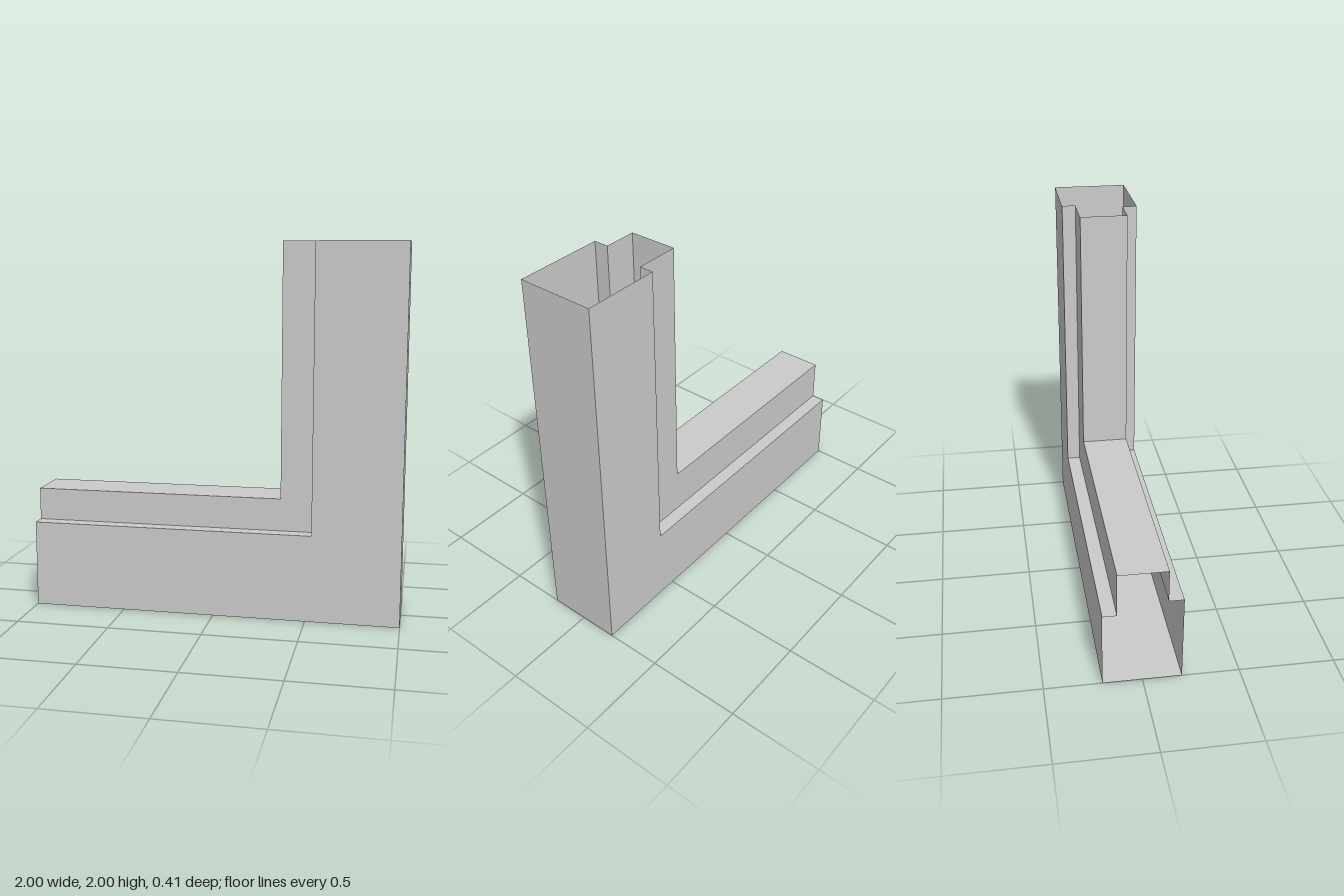
import * as THREE from 'three';

// Frame profile: [distance in from the outer edge, z]
const PROFILE = [
  [0, -0.203], [0, 0.203], [0.47, 0.203], [0.47, 0.125],
  [0.645, 0.125], [0.645, -0.13], [0.41, -0.13], [0.41, -0.203],
];

// Open hollow bar: each profile edge is swept from one station to the next
function sweepBar(name, start, end, material) {
  const positions = [];
  PROFILE.forEach((p, i) => {
    const q = PROFILE[(i + 1) % PROFILE.length];
    const a0 = start(...p), a1 = end(...p), b0 = start(...q), b1 = end(...q);
    positions.push(...a0, ...a1, ...b1, ...a0, ...b1, ...b0);
  });
  const geometry = new THREE.BufferGeometry();
  geometry.setAttribute('position', new THREE.Float32BufferAttribute(positions, 3));
  geometry.computeVertexNormals();
  const mesh = new THREE.Mesh(geometry, material);
  mesh.name = name;
  return mesh;
}

export function createModel() {
  const group = new THREE.Group();
  group.name = 'cornerFrameSection';
  const material = new THREE.MeshStandardMaterial({
    color: 0xcccccc, flatShading: true, side: THREE.DoubleSide,
  });

  // Stations along the bar: open left end, mitred corner, open top end
  const leftEnd = (d, z) => [-1, d, z];
  const mitre = (d, z) => [1 - d, d, z];
  const topEnd = (d, z) => [1 - d, 2, z];

  group.add(
    sweepBar('bottomRail', leftEnd, mitre, material),
    sweepBar('uprightStile', mitre, topEnd, material),
  );
  return group;
}
